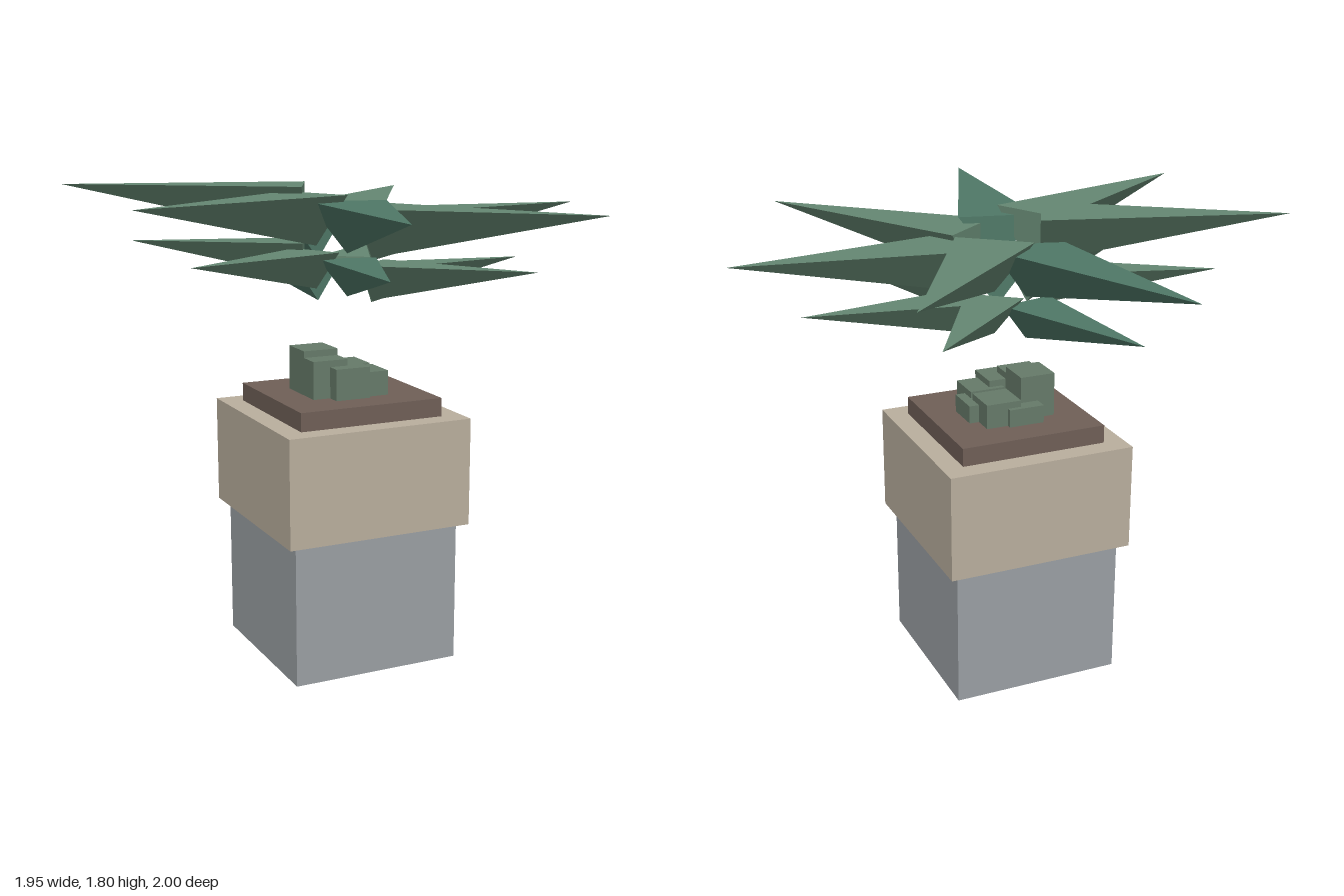
import * as THREE from 'three';

const CX = -0.05; // plant and pot axis
const COUNT = 7;

const mat = (color) => new THREE.MeshStandardMaterial({ color, flatShading: true });

// Leaf blade: flat top, keel underneath, pointing along +x from a triangular base
function leafGeometry(length, halfWidth, depth) {
  const tip = [length, 0, 0];
  const a = [0, 0, halfWidth];
  const b = [0, 0, -halfWidth];
  const keel = [0, -depth, 0];
  const faces = [tip, b, a, tip, a, keel, tip, keel, b, a, b, keel];
  const geo = new THREE.BufferGeometry();
  geo.setAttribute('position', new THREE.Float32BufferAttribute(faces.flat(), 3));
  geo.computeVertexNormals();
  return geo;
}

export function createModel() {
  const model = new THREE.Group();
  model.name = 'pottedPlant';

  // Box given by its footprint side, bottom and top
  const block = (name, side, y0, y1, material, x = CX, z = 0) => {
    const mesh = new THREE.Mesh(new THREE.BoxGeometry(side, y1 - y0, side), material);
    mesh.name = name;
    mesh.position.set(x, (y0 + y1) / 2, z);
    model.add(mesh);
  };

  // Pot and soil
  block('potBase', 0.66, 0, 0.54, mat(0x9a9fa3));
  block('potRim', 0.73, 0.54, 0.95, mat(0xb9ae9d));
  block('soil', 0.57, 0.95, 1.02, mat(0x6f5f57));

  const stumpMat = mat(0x667a69);
  const lightLeaf = mat(0x658772);
  const darkLeaf = mat(0x4f7867);

  // Two tiers of leaves, stacked on the same angles
  const baseRadius = 0.133;
  const tiers = [
    { name: 'upperLeaf', y: 1.697, geo: leafGeometry(0.893, 0.147, 0.19) },
    { name: 'lowerLeaf', y: 1.49, geo: leafGeometry(0.642, 0.108, 0.14) },
  ];

  for (let i = 0; i < COUNT; i++) {
    const angle = (i / COUNT) * Math.PI * 2;
    const c = Math.cos(angle);
    const s = Math.sin(angle);
    const lift = (i % 5) * 0.025;

    // Ring of stubby stems on the soil
    block('stemBlock', 0.138, 1.02, 1.088 + lift, stumpMat, CX + 0.1 * c, 0.1 * s);

    for (const { name, y, geo } of tiers) {
      const leaf = new THREE.Mesh(geo, i % 3 === 2 ? darkLeaf : lightLeaf);
      leaf.name = name;
      leaf.position.set(CX + baseRadius * c, y + lift, baseRadius * s);
      leaf.rotation.y = -angle;
      model.add(leaf);
    }
  }
  return model;
}
